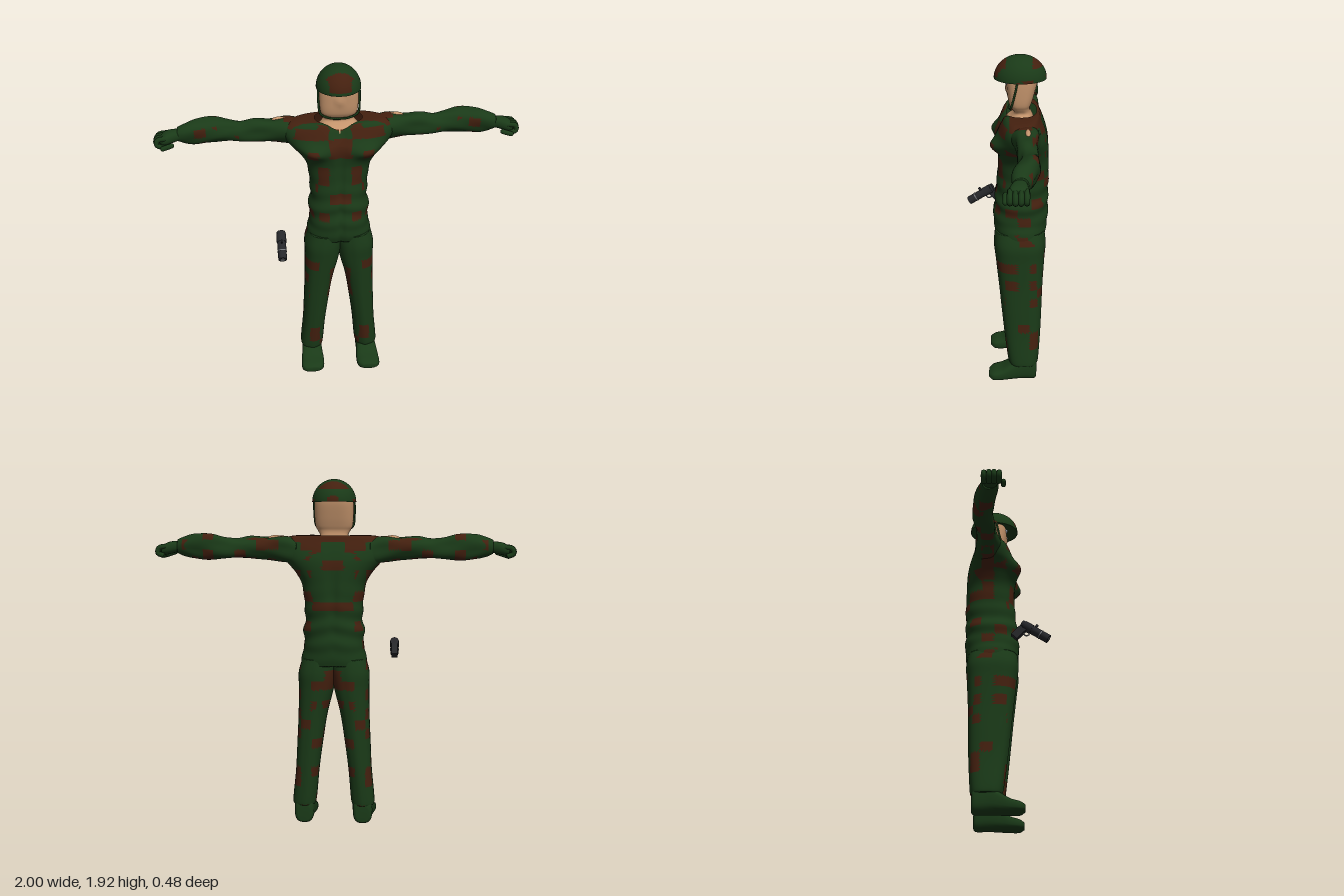
import * as THREE from 'three';

const mat = (color) => new THREE.MeshStandardMaterial({ color, side: THREE.DoubleSide });
const green = mat(0x1a3a18), brown = mat(0x44200f), skin = mat(0xc4946c);
const eyeMat = mat(0x9fb4c4), black = mat(0x26272a), steel = mat(0x77797c);

function mesh(geometry, material, name) {
  const m = new THREE.Mesh(geometry, material);
  m.name = name;
  return m;
}

// Smooth closed skin through sections [t, a0, a1, b0, b1] along an axis (0 x, 1 y, 2 z);
// a and b are the two following axes in cyclic order, n is the squareness.
function loft(axis, sections, { rows = 40, cols = 32, n = 2.4, warp, capEnd = true } = {}) {
  const splines = [0, 1, 2, 3, 4].map((c) =>
    new THREE.SplineCurve(sections.map((s, i) => new THREE.Vector2(i, s[c]))));
  const pos = [], index = [];
  const v = new THREE.Vector3();
  const round = (s) => Math.sign(s) * Math.abs(s) ** (2 / n);
  const put = (t, a, b) => {
    v.setComponent(axis, t);
    v.setComponent((axis + 1) % 3, a);
    v.setComponent((axis + 2) % 3, b);
    if (warp) warp(v);
    pos.push(v.x, v.y, v.z);
  };
  for (let i = 0; i <= rows; i++) {
    const [t, a0, a1, b0, b1] = splines.map((s) => s.getPoint(i / rows).y);
    for (let j = 0; j < cols; j++) {
      const w = (j / cols) * Math.PI * 2;
      put(t, (a0 + a1) / 2 + (a1 - a0) / 2 * round(Math.cos(w)),
        (b0 + b1) / 2 + (b1 - b0) / 2 * round(Math.sin(w)));
      if (i < rows) {
        const p = i * cols + j, q = i * cols + (j + 1) % cols;
        index.push(p, q, p + cols, q, q + cols, p + cols);
      }
    }
  }
  // End caps
  [sections[0], sections[sections.length - 1]].forEach(([t, a0, a1, b0, b1], end) => {
    if (end && !capEnd) return;
    const centre = pos.length / 3, base = end * rows * cols;
    put(t, (a0 + a1) / 2, (b0 + b1) / 2);
    for (let j = 0; j < cols; j++) {
      const p = base + j, q = base + (j + 1) % cols;
      index.push(centre, ...(end ? [p, q] : [q, p]));
    }
  });
  const g = new THREE.BufferGeometry();
  g.setAttribute('position', new THREE.Float32BufferAttribute(pos, 3));
  g.setIndex(index);
  g.computeVertexNormals();
  return g;
}

// Blocky camouflage: share out the faces between a green and a brown mesh.
function camo(geometry, name, extraBrown = () => false) {
  const hash = (a, b, c) => {
    const s = Math.sin(a * 127.1 + b * 311.7 + c * 74.7) * 43758.5453;
    return s - Math.floor(s);
  };
  const p = geometry.attributes.position, idx = geometry.index.array, parts = [[], []];
  const c = new THREE.Vector3(), v = new THREE.Vector3();
  for (let f = 0; f < idx.length; f += 3) {
    c.set(0, 0, 0);
    for (let k = 0; k < 3; k++) c.addScaledVector(v.fromBufferAttribute(p, idx[f + k]), 1 / 3);
    const cell = hash(Math.floor(Math.abs(c.x) / 0.06), Math.floor(c.y / 0.055), Math.floor(c.z / 0.07));
    parts[cell < 0.24 || extraBrown(c) ? 1 : 0].push(idx[f], idx[f + 1], idx[f + 2]);
  }
  const group = new THREE.Group();
  group.name = name;
  parts.forEach((list, i) => {
    const g = geometry.clone();
    g.setIndex(list);
    group.add(mesh(g, i ? brown : green, name + (i ? 'Patches' : 'Cloth')));
  });
  return group;
}

const bump = (d, w) => Math.exp(-((d / w) ** 2));

function makeJacket() {
  const rings = [ // y, back, front, half width
    [0.905, -0.222, 0.055, 0.183], [0.95, -0.23, 0.068, 0.183], [1.0, -0.235, 0.072, 0.165],
    [1.08, -0.235, 0.065, 0.17], [1.15, -0.235, 0.06, 0.16], [1.25, -0.238, 0.05, 0.163],
    [1.35, -0.235, 0.045, 0.177], [1.41, -0.233, 0.05, 0.208], [1.46, -0.23, 0.055, 0.25],
    [1.5, -0.222, 0.052, 0.285], [1.55, -0.205, 0.04, 0.305], [1.59, -0.188, 0.025, 0.29],
    [1.615, -0.178, 0.012, 0.235], [1.62, -0.165, 0, 0.13],
  ].map(([y, b, f, w]) => [y, b, f, -w, w]);
  const warp = (v) => {
    const ax = Math.abs(v.x), front = THREE.MathUtils.smoothstep(v.z, -0.06, 0.03);
    // Waist folds
    const fold = 1 + 0.03 * bump(v.y - 1.1, 0.17) * Math.sin(v.y * 62 + ax * 14);
    v.x *= fold;
    v.z = (v.z + 0.085) * fold - 0.085;
    // Chest, front placket, spine and V neck
    v.z += front * 0.045 * bump(ax - 0.15, 0.08) * bump(v.y - 1.465, 0.045);
    v.z -= front * 0.012 * bump(ax, 0.012);
    if (v.z < -0.15) v.z += 0.012 * bump(ax, 0.025) * bump(v.y - 1.3, 0.2);
    v.y -= front * 0.055 * bump(ax, 0.065) * THREE.MathUtils.clamp((v.y - 1.5) / 0.12, 0, 1);
  };
  return camo(loft(1, rings, { rows: 84, cols: 80, warp, capEnd: false }), 'jacket',
    (c) => c.y > 1.585 && c.z < -0.02);
}

function makeArm() {
  const arm = new THREE.Group();
  arm.name = 'arm';
  const sleeve = [ // x, bottom, top, back, front
    [0.2, 1.46, 1.6, -0.19, -0.02], [0.28, 1.475, 1.618, -0.178, -0.035],
    [0.36, 1.488, 1.61, -0.165, -0.05], [0.45, 1.49, 1.615, -0.165, -0.06],
    [0.53, 1.492, 1.6, -0.172, -0.065], [0.6, 1.49, 1.607, -0.18, -0.075],
    [0.68, 1.488, 1.625, -0.178, -0.065], [0.77, 1.492, 1.63, -0.155, -0.048],
    [0.83, 1.505, 1.61, -0.138, -0.04], [0.87, 1.52, 1.592, -0.122, -0.045],
  ];
  // Long twisting folds
  const warp = (v) => {
    const w = Math.atan2(v.z + 0.115, v.y - 1.555);
    const k = 1 + 0.06 * Math.sin(3 * w + 14 * v.x) + 0.03 * Math.sin(5 * w - 22 * v.x);
    v.y = 1.555 + (v.y - 1.555) * k;
    v.z = -0.115 + (v.z + 0.115) * k;
  };
  arm.add(camo(loft(0, sleeve, { rows: 80, cols: 36, warp }), 'sleeve'));
  const palm = [[0.85, 1.53, 1.585, -0.112, -0.05], [0.89, 1.52, 1.585, -0.12, -0.035],
    [0.93, 1.51, 1.578, -0.125, -0.022], [0.96, 1.51, 1.56, -0.118, -0.028]];
  arm.add(mesh(loft(0, palm, { rows: 14, cols: 20 }), green, 'glove'));
  // Curled fingers and thumb
  for (let i = 0; i < 4; i++) {
    const z = -0.112 + i * 0.026, reach = 0.98 + 0.006 * Math.sin(i);
    const curve = new THREE.CatmullRomCurve3([new THREE.Vector3(0.93, 1.556, z),
      new THREE.Vector3(reach - 0.008, 1.548, z), new THREE.Vector3(reach, 1.52, z),
      new THREE.Vector3(0.945, 1.505, z)]);
    arm.add(mesh(new THREE.TubeGeometry(curve, 12, 0.0145, 8), green, 'finger'));
  }
  const thumb = new THREE.CapsuleGeometry(0.014, 0.05, 4, 10);
  thumb.rotateZ(1.25).translate(0.925, 1.515, -0.013);
  arm.add(mesh(thumb, green, 'thumb'));
  // Bare skin in the gap of the shoulder seam
  const gap = new THREE.SphereGeometry(1, 16, 10);
  gap.scale(0.045, 0.02, 0.016).translate(0.32, 1.6, -0.118);
  arm.add(mesh(gap, skin, 'shoulderSkin'));
  return arm;
}

function makeLeg() {
  const leg = new THREE.Group();
  leg.name = 'leg';
  const trouser = [ // y, back, front, inner, outer
    [0.105, -0.178, -0.035, 0.108, 0.222], [0.13, -0.185, -0.022, 0.098, 0.231],
    [0.3, -0.195, 0, 0.083, 0.215], [0.46, -0.2, 0.017, 0.062, 0.207],
    [0.62, -0.204, 0.033, 0.037, 0.2], [0.77, -0.212, 0.05, 0, 0.198],
    [0.86, -0.218, 0.06, -0.012, 0.198], [0.94, -0.21, 0.055, -0.012, 0.175],
  ];
  // Pressed crease down the front and back
  const warp = (v) => {
    const mid = 0.17 - 0.09 * v.y;
    v.z += 0.007 * Math.sign(v.z + 0.09) * bump(v.x - mid, 0.018) * (Math.abs(v.z + 0.09) > 0.06 ? 1 : 0);
  };
  leg.add(camo(loft(1, trouser, { rows: 72, cols: 44, n: 2.6, warp }), 'trouserLeg'));
  const boot = [ // z, inner, outer, sole, top
    [-0.182, 0.13, 0.2, 0.015, 0.1], [-0.165, 0.112, 0.218, 0.003, 0.14],
    [-0.1, 0.108, 0.222, 0.004, 0.15], [-0.035, 0.105, 0.23, 0.003, 0.115],
    [0.02, 0.1, 0.236, 0.002, 0.08], [0.07, 0.106, 0.236, 0.004, 0.064],
    [0.097, 0.135, 0.212, 0.018, 0.048],
  ];
  leg.add(mesh(loft(2, boot, { rows: 28, cols: 28, n: 2.9 }), green, 'boot'));
  return leg;
}

function makeHead() {
  const head = new THREE.Group();
  head.name = 'head';
  const rings = [ // y, back, front, half width
    [1.5, -0.15, 0.015, 0.13], [1.565, -0.15, 0.005, 0.12], [1.597, -0.14, -0.028, 0.095],
    [1.62, -0.13, -0.042, 0.078], [1.645, -0.128, -0.026, 0.09], [1.67, -0.137, -0.014, 0.102],
    [1.72, -0.152, -0.006, 0.107], [1.8, -0.17, -0.002, 0.107], [1.85, -0.165, -0.02, 0.095],
  ].map(([y, b, f, w]) => [y, b, f, -w, w]);
  const warp = (v) => { // nose ridge
    if (v.z > -0.05) v.z += 0.01 * bump(v.x, 0.014) * bump(v.y - 1.74, 0.028);
  };
  head.add(mesh(loft(1, rings, { rows: 44, cols: 48, n: 2.9, warp }), skin, 'headAndNeck'));
  // Eyes and chin strap
  for (const s of [-1, 1]) {
    const eye = new THREE.SphereGeometry(0.013, 16, 12);
    eye.translate(s * 0.04, 1.787, -0.006);
    head.add(mesh(eye, eyeMat, 'eye'));
    const strap = new THREE.CatmullRomCurve3([[0.111, 1.81, -0.062], [0.111, 1.73, -0.045],
      [0.1, 1.665, -0.028], [0.05, 1.642, -0.02], [0, 1.638, -0.018]]
      .map(([x, y, z]) => new THREE.Vector3(s * x, y, z)));
    head.add(mesh(new THREE.TubeGeometry(strap, 24, 0.006, 6), green, 'chinStrap'));
  }
  // Helmet
  const dome = new THREE.SphereGeometry(1, 48, 24, 0, Math.PI * 2, 0, Math.PI / 2);
  dome.scale(0.121, 0.124, 0.141).translate(0, 1.8, -0.075);
  head.add(camo(dome, 'helmet'));
  const under = new THREE.CircleGeometry(1, 48);
  under.rotateX(Math.PI / 2).scale(0.12, 1, 0.14).translate(0, 1.802, -0.075);
  head.add(mesh(under, green, 'helmetUnderside'));
  return head;
}

// Small sidearm hanging beside the figure, barrel along its own +z
function makePistol() {
  const gun = new THREE.Group();
  gun.name = 'pistol';
  const tube = (r, len, z, m, name) => gun.add(
    mesh(new THREE.CylinderGeometry(r, r, len, 20).rotateX(Math.PI / 2).translate(0, 0, z), m, name));
  tube(0.024, 0.17, 0, black, 'barrel');
  tube(0.026, 0.006, 0.035, steel, 'barrelRing');
  tube(0.027, 0.05, -0.045, black, 'chamber');
  tube(0.012, 0.004, 0.086, steel, 'muzzle');
  gun.add(mesh(new THREE.BoxGeometry(0.008, 0.02, 0.014).translate(0, 0.031, -0.01), black, 'sight'));
  gun.add(mesh(new THREE.BoxGeometry(0.034, 0.09, 0.042).rotateX(0.2).translate(0, -0.045, -0.07), black, 'grip'));
  gun.add(mesh(new THREE.TorusGeometry(0.016, 0.004, 6, 16).rotateY(Math.PI / 2).translate(0, -0.032, -0.035), steel, 'triggerGuard'));
  gun.rotation.x = 0.56;
  gun.position.set(-0.338, 0.965, 0.155);
  return gun;
}

export function createModel() {
  const model = new THREE.Group();
  model.name = 'soldier';
  model.add(makeHead(), makeJacket(), makePistol());
  for (const [side, s] of [['left', 1], ['right', -1]]) {
    const limbs = new THREE.Group();
    limbs.name = side + 'Limbs';
    limbs.add(makeArm(), makeLeg());
    limbs.scale.x = s;
    model.add(limbs);
  }
  return model;
}
